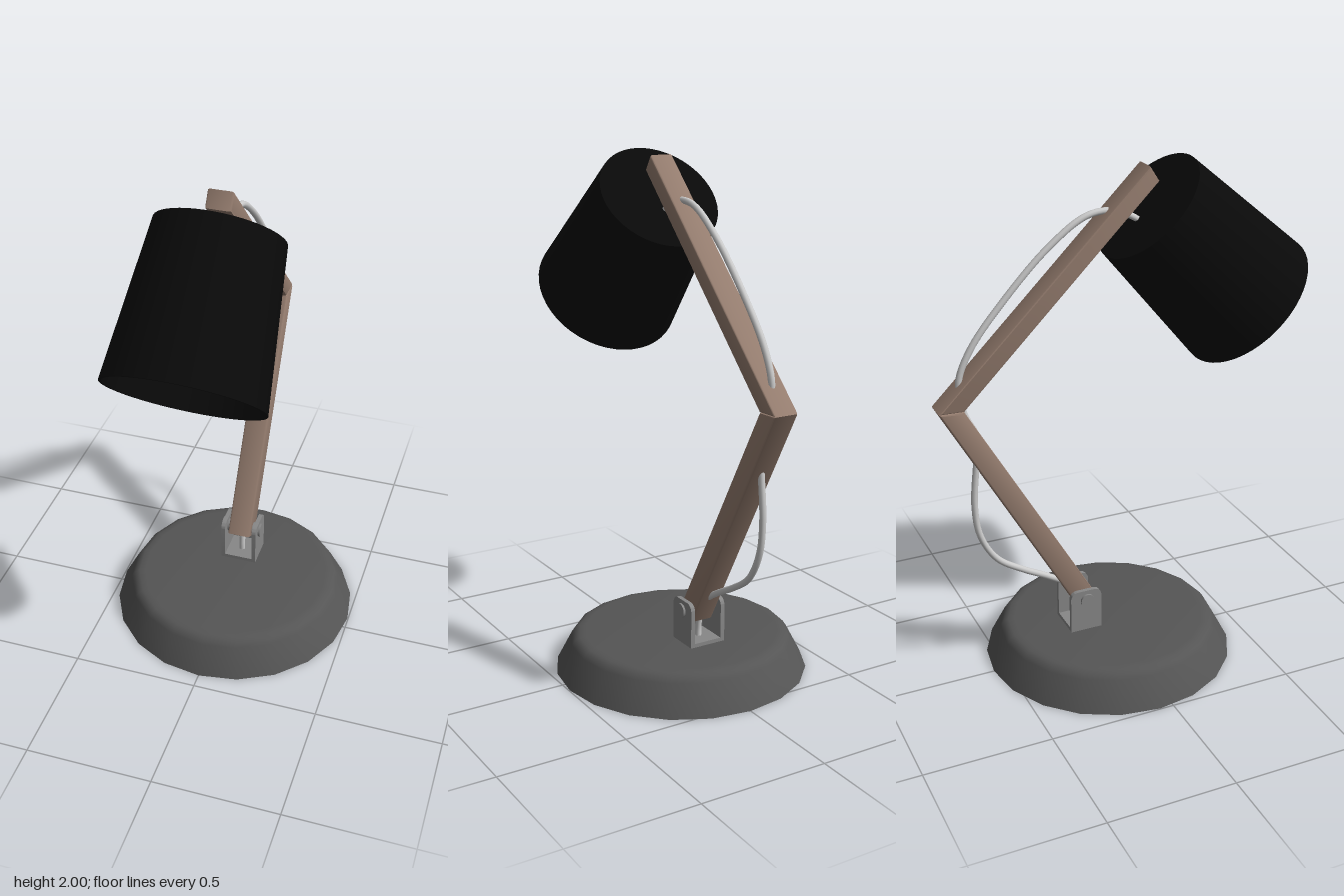
import * as THREE from 'three';
import { toCreasedNormals } from 'three/addons/utils/BufferGeometryUtils.js';

const X = -0.005; // plane in which the arm, shade and cable lie

const paint = (color, side = THREE.FrontSide) =>
  new THREE.MeshStandardMaterial({ color, side });
const wood = paint(0x957d6f);
const steel = paint(0x888888);
const iron = paint(0x555555);
const black = paint(0x090909, THREE.DoubleSide);
const cord = paint(0xcccccc);

function add(parent, name, geometry, material, x = 0, y = 0, z = 0) {
  const mesh = new THREE.Mesh(geometry, material);
  mesh.name = name;
  mesh.position.set(x, y, z);
  parent.add(mesh);
  return mesh;
}

// Extrudes a side outline, drawn in (z, y), to a given width along x
function sideExtrude(shape, width, bevel) {
  const geo = new THREE.ExtrudeGeometry(shape, {
    depth: width - 2 * bevel, curveSegments: 6,
    bevelEnabled: bevel > 0, bevelThickness: bevel, bevelSize: bevel,
    bevelOffset: -bevel, bevelSegments: 2,
  });
  geo.translate(0, 0, bevel - width / 2);
  geo.rotateY(-Math.PI / 2);
  return toCreasedNormals(geo, 0.6);
}

const polygon = (pts) => new THREE.Shape(pts.map(([z, y]) => new THREE.Vector2(z, y)));

function lathe(pts, segments) {
  const profile = pts.map(([r, y]) => new THREE.Vector2(r, y));
  return toCreasedNormals(new THREE.LatheGeometry(profile, segments), 0.7);
}

export function createModel() {
  const lamp = new THREE.Group();
  lamp.name = 'deskLamp';

  // Heavy round base
  add(lamp, 'base', lathe([
    [0, 0], [0.497, 0], [0.437, 0.115], [0.424, 0.134], [0.405, 0.144], [0.38, 0.147], [0, 0.147],
  ], 20), iron, 0, 0, -0.055);

  // U-shaped bracket with a through bolt
  const bracket = new THREE.Group();
  bracket.name = 'bracket';
  bracket.position.x = X;
  lamp.add(bracket);
  const back = -0.247, front = -0.117, top = 0.324, r = 0.03;
  const cheek = new THREE.Shape();
  cheek.moveTo(back, 0.145);
  cheek.lineTo(front, 0.145);
  cheek.lineTo(front, top - r);
  cheek.absarc(front - r, top - r, r, 0, Math.PI / 2);
  cheek.lineTo(back + r, top);
  cheek.absarc(back + r, top - r, r, Math.PI / 2, Math.PI);
  for (const s of [-1, 1]) {
    add(bracket, 'bracketCheek', sideExtrude(cheek, 0.017, 0), steel, s * 0.067, 0, 0);
  }
  add(bracket, 'bracketFloor', new THREE.BoxGeometry(0.13, 0.016, front - back), steel,
    0, 0.154, (front + back) / 2);
  const bolt = new THREE.CylinderGeometry(0.028, 0.028, 0.168, 16).rotateZ(Math.PI / 2);
  add(bracket, 'bolt', bolt, steel, 0, 0.281, -0.178);

  // Two wooden arms meeting at a mitred elbow
  const elbowIn = [-0.635, 1.168], elbowOut = [-0.73, 1.172];
  add(lamp, 'lowerArm', sideExtrude(polygon(
    [[-0.123, 0.275], elbowIn, elbowOut, [-0.2, 0.232]]), 0.096, 0.008), wood, X);
  add(lamp, 'upperArm', sideExtrude(polygon(
    [elbowIn, [0.135, 1.931], [0.098, 1.988], elbowOut]), 0.096, 0.008), wood, X);

  // Tapered shade, open at the wide end and tilted 45 degrees
  const shade = add(lamp, 'shade', lathe([
    [0, 0.582], [0.23, 0.582], [0.284, 0], [0.294, 0], [0.238, 0.592], [0, 0.592],
  ], 48), black, X, 1.415, 0.528);
  shade.rotation.x = -Math.PI / 4;

  // Cable from the shade, threaded through both arms down to the base
  const path = new THREE.CatmullRomCurve3([
    [0.09, 1.775], [0.03, 1.81], [-0.03, 1.832], [-0.135, 1.822], [-0.284, 1.722],
    [-0.465, 1.54], [-0.582, 1.395], [-0.633, 1.29], [-0.638, 1.23], [-0.622, 1.14],
    [-0.585, 1.06], [-0.578, 1.0], [-0.586, 0.925], [-0.6, 0.76], [-0.583, 0.626],
    [-0.52, 0.513], [-0.416, 0.44], [-0.31, 0.382], [-0.24, 0.335], [-0.19, 0.26],
    [-0.178, 0.2], [-0.178, 0.14],
  ].map(([z, y]) => new THREE.Vector3(0, y, z)));
  add(lamp, 'cable', new THREE.TubeGeometry(path, 120, 0.0125, 10), cord, X);

  return lamp;
}
